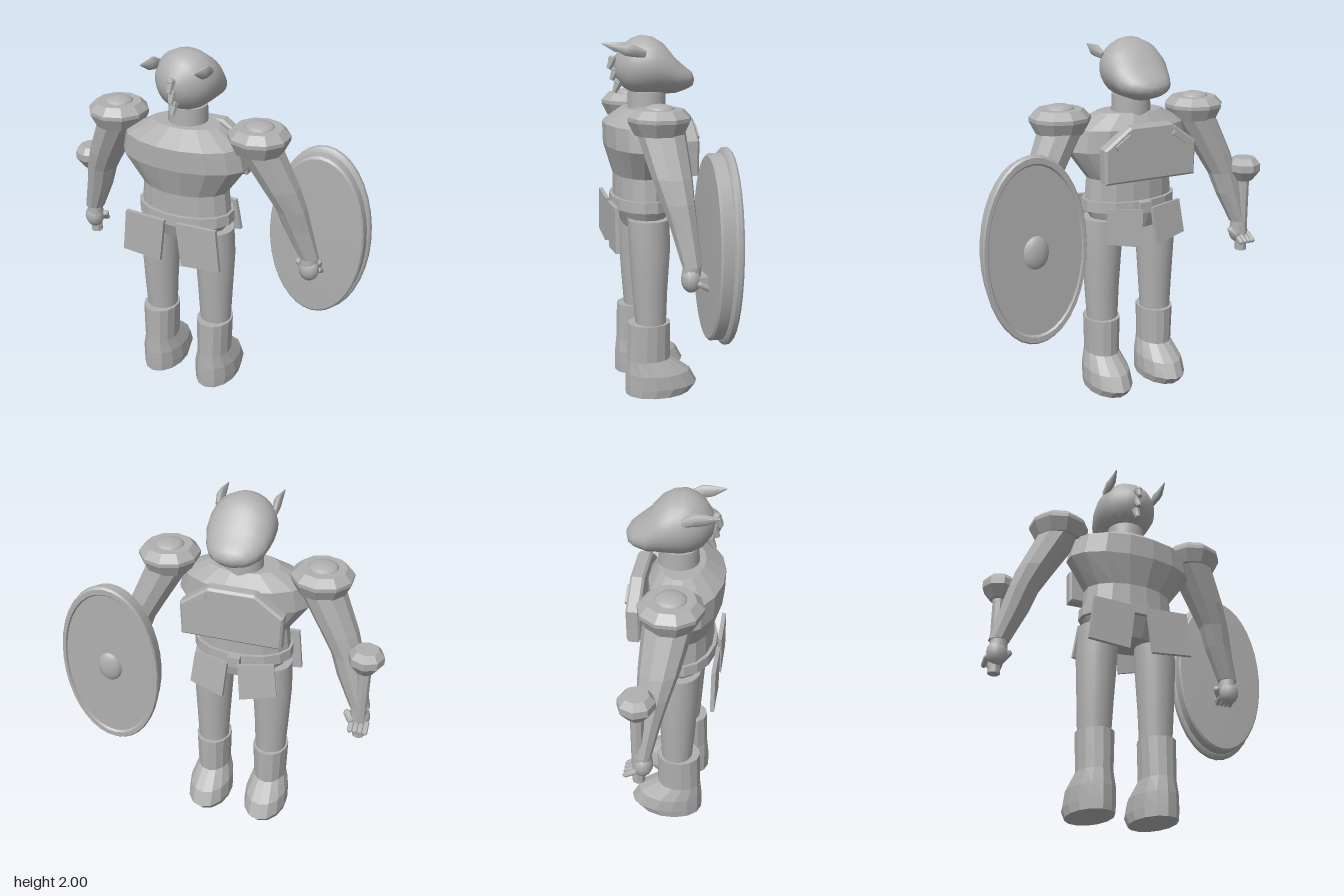
import * as THREE from 'three';
import { toCreasedNormals } from 'three/addons/utils/BufferGeometryUtils.js';

const MID = -0.09; // the body's plane of symmetry
const grey = new THREE.MeshStandardMaterial({ color: 0xb0b0b0 });
const FLAT = 0.05, SOFT = 0.7;

function add(parent, name, geometry, pos = [0, 0, 0], crease = FLAT) {
  const mesh = new THREE.Mesh(toCreasedNormals(geometry, crease), grey);
  mesh.name = name;
  mesh.position.set(...pos);
  parent.add(mesh);
  return mesh;
}

// Closed skin over elliptical rings [x, y, z, rx, rz], listed from low to high y
function loft(rings, n = 12) {
  const pos = [], idx = [];
  for (const [x, y, z, rx, rz] of rings) {
    for (let j = 0; j < n; j++) {
      const a = ((j + 0.5) / n) * Math.PI * 2;
      pos.push(x + Math.cos(a) * rx, y, z + Math.sin(a) * rz);
    }
  }
  const last = rings.length - 1;
  for (let i = 0; i < last; i++) {
    for (let j = 0; j < n; j++) {
      const k = (j + 1) % n, a = i * n + j, b = i * n + k;
      idx.push(a, a + n, b + n, a, b + n, b);
    }
  }
  for (let j = 1; j < n - 1; j++) {
    idx.push(0, j, j + 1, last * n, last * n + j + 1, last * n + j);
  }
  const g = new THREE.BufferGeometry();
  g.setAttribute('position', new THREE.Float32BufferAttribute(pos, 3));
  g.setIndex(idx);
  return g;
}

function ellipsoid(rx, ry, rz, w = 16, h = 12) {
  return new THREE.SphereGeometry(1, w, h).scale(rx, ry, rz);
}

// Flat plate from corner points in x and y
function plate(points, depth, bevel = 0) {
  const shape = new THREE.Shape(points.map(([x, y]) => new THREE.Vector2(x, y)));
  return new THREE.ExtrudeGeometry(shape, {
    depth, bevelEnabled: bevel > 0, bevelSize: bevel, bevelThickness: bevel, bevelSegments: 1,
  });
}

// Limbs, armour and hand of one side; s = 1 is +x, s = -1 is -x
function buildSide(s) {
  const g = new THREE.Group();
  g.name = s > 0 ? 'leftSide' : 'rightSide';
  const X = (d) => MID + s * d;

  // leg and boot
  add(g, 'leg', loft([
    [X(0.175), 0.38, 0.035, 0.087, 0.085],
    [X(0.175), 0.6, 0.04, 0.098, 0.097],
    [X(0.172), 0.85, 0.04, 0.112, 0.113],
    [X(0.165), 1.02, 0.045, 0.112, 0.115],
  ], 20), [0, 0, 0], SOFT);
  add(g, 'boot', loft([
    [X(0.175), 0, -0.005, 0.118, 0.186],
    [X(0.175), 0.05, -0.025, 0.126, 0.208],
    [X(0.175), 0.13, -0.005, 0.122, 0.186],
    [X(0.175), 0.21, 0.048, 0.095, 0.125],
    [X(0.175), 0.425, 0.045, 0.102, 0.122],
  ], 14));

  // arm
  add(g, 'arm', loft([
    [X(0.685), 0.9, -0.065, 0.057, 0.05],
    [X(0.62), 1.08, -0.04, 0.078, 0.07],
    [X(0.585), 1.2, -0.02, 0.086, 0.085],
    [X(0.53), 1.32, 0.0, 0.102, 0.105],
    [X(0.41), 1.55, 0.035, 0.122, 0.13],
  ], 10));

  // shoulder armour with a domed cap
  const profile = [[0, 1.52], [0.13, 1.52], [0.165, 1.59], [0.165, 1.61], [0.125, 1.65], [0, 1.65]];
  add(g, 'shoulderArmour', new THREE.LatheGeometry(
    profile.map(([r, y]) => new THREE.Vector2(r, y)), 10), [X(0.415), 0, 0.04]);
  add(g, 'shoulderDome', ellipsoid(0.08, 0.03, 0.08), [X(0.415), 1.645, 0.04], SOFT);

  // hand with curled fingers
  add(g, 'palm', ellipsoid(0.058, 0.07, 0.052, 12, 8), [X(0.69), 0.83, -0.062], SOFT);
  add(g, 'wrist', new THREE.CylinderGeometry(0.045, 0.05, 0.08, 10), [X(0.685), 0.885, -0.065], SOFT);
  for (let i = 0; i < 4; i++) {
    const f = add(g, 'finger', new THREE.CapsuleGeometry(0.015, 0.055, 3, 8),
      [X(0.655 + i * 0.027), 0.8, -0.12], SOFT);
    f.rotation.x = 1.05;
  }
  const thumb = add(g, 'thumb', new THREE.CapsuleGeometry(0.02, 0.04, 3, 8),
    [X(0.635), 0.835, -0.09], SOFT);
  thumb.rotation.set(0.6, 0, s * 0.6);

  // hanging skirt plates, large at +z and small at -z
  const mirror = (pts) => pts.map(([d, y]) => [X(d), y]);
  add(g, 'skirtPlate', plate(mirror([[0.035, 1.1], [0.27, 1.11], [0.295, 0.865], [0.065, 0.845]]), 0.022),
    [0, 0, 0.228]);
  const small = add(g, 'smallSkirtPlate',
    plate([[0.03, 0.01], [0.225, 0.03], [0.25, -0.16], [0.05, -0.2]].map(([x, y]) => [s * x, y]), 0.02),
    [MID, 1.09, -0.185]);
  small.rotation.set(0.12, -s * 0.18, 0);

  // chest plate stud
  add(g, 'chestStud', new THREE.BoxGeometry(0.1, 0.025, 0.02), [X(0.17), 1.49, -0.215]).rotation.z = -s * 0.6;

  // pointed ear sweeping away from the face
  const ear = loft([
    [0, 0, 0, 0.016, 0.02], [0.006, 0.07, 0, 0.022, 0.034],
    [0.008, 0.11, 0.008, 0.018, 0.03], [0, 0.19, 0.012, 0.003, 0.003],
  ], 8).rotateX(1.28);
  if (s < 0) ear.rotateZ(0.1); else ear.rotateZ(-0.1);
  add(g, 'ear', ear, [X(0.147), 1.905, 0.055], SOFT);
  return g;
}

export function createModel() {
  const model = new THREE.Group();
  model.name = 'armouredFighter';

  // torso, pelvis, belt and neck
  add(model, 'torso', loft([
    [MID, 1.1, 0.05, 0.265, 0.16],
    [MID, 1.25, 0.05, 0.25, 0.16],
    [MID, 1.41, 0.063, 0.365, 0.195],
    [MID, 1.53, 0.065, 0.34, 0.197],
    [MID, 1.61, 0.04, 0.19, 0.12],
  ], 16));
  add(model, 'pelvis', loft([[MID, 0.96, 0.04, 0.2, 0.12], [MID, 1.08, 0.05, 0.265, 0.16]], 16));
  add(model, 'belt', loft([[MID, 1.07, 0.05, 0.28, 0.182], [MID, 1.13, 0.05, 0.277, 0.18]], 16));
  add(model, 'buckle', new THREE.BoxGeometry(0.07, 0.06, 0.04), [MID, 1.1, -0.14]);
  add(model, 'neck', new THREE.CylinderGeometry(0.104, 0.108, 0.14, 18), [MID, 1.63, 0.02], SOFT);

  // head, lofted from skull to snout
  const head = loft([
    [0, -0.2, 1.835, 0.012, 0.012], [0, -0.187, 1.835, 0.06, 0.065],
    [0, -0.145, 1.835, 0.118, 0.118], [0, -0.1, 1.838, 0.15, 0.147],
    [0, -0.05, 1.84, 0.17, 0.16], [0, 0.01, 1.835, 0.174, 0.156],
    [0, 0.07, 1.818, 0.17, 0.136], [0, 0.13, 1.782, 0.153, 0.098],
    [0, 0.19, 1.766, 0.122, 0.064], [0, 0.225, 1.76, 0.082, 0.042],
    [0, 0.243, 1.758, 0.02, 0.012],
  ], 28).rotateX(-Math.PI / 2);
  add(model, 'head', head, [MID, 0, 0], 1.2);

  // three-part braid
  [[1.85, 0.215], [1.79, 0.2], [1.725, 0.185]].forEach(([y, z]) => {
    const lock = add(model, 'braidLock',
      new THREE.CylinderGeometry(0.026, 0.013, 0.065, 8), [MID, y, z], SOFT);
    lock.rotation.x = -0.45;
    add(model, 'braidKnot', ellipsoid(0.024, 0.018, 0.024, 8, 6), [MID, y + 0.025, z - 0.008], SOFT);
  });

  // chest plate
  add(model, 'chestPlate', plate([
    [-0.26, 1.28], [0.26, 1.28], [0.265, 1.45], [0.12, 1.555], [-0.12, 1.555], [-0.265, 1.45],
  ], 0.05, 0.012), [MID, 0, -0.2]);

  model.add(buildSide(1), buildSide(-1));

  // oval shield with stepped rim and central boss
  const shield = new THREE.Group();
  shield.name = 'shield';
  shield.position.set(0.597, 0.983, 0);
  const outline = [[0, 0.24], [0.9, 0.24], [0.92, 0.25], [0.98, 0.25], [1, 0.24], [1, 0.22],
    [0.975, 0.21], [0.945, 0.205], [0.945, 0.15], [0.92, 0.14], [0.82, 0.138], [0, 0.138]];
  const disc = new THREE.LatheGeometry(outline.reverse().map(([r, z]) => new THREE.Vector2(r, z)), 36);
  add(shield, 'shieldDisc', disc.rotateX(-Math.PI / 2).scale(0.285, 0.507, 1), [0, 0, 0], 0.4);
  add(shield, 'shieldBoss', ellipsoid(0.07, 0.09, 0.032), [0, 0, -0.238], SOFT);
  add(shield, 'shieldGrip', new THREE.BoxGeometry(0.1, 0.05, 0.06), [0, -0.16, -0.115]);
  model.add(shield);

  // mace
  const mace = new THREE.Group();
  mace.name = 'mace';
  mace.position.set(-0.785, 0, -0.085);
  add(mace, 'maceHandle', new THREE.CylinderGeometry(0.034, 0.034, 0.48, 8), [0, 0.96, 0]);
  const maceProfile = [[0, 1.15], [0.05, 1.15], [0.095, 1.21], [0.095, 1.25], [0.065, 1.285], [0, 1.285]];
  add(mace, 'maceHead', new THREE.LatheGeometry(
    maceProfile.map(([r, y]) => new THREE.Vector2(r, y)), 8));
  model.add(mace);

  // mirrored outlines may run either way round; extrusion fixes their winding
  return model;
}
